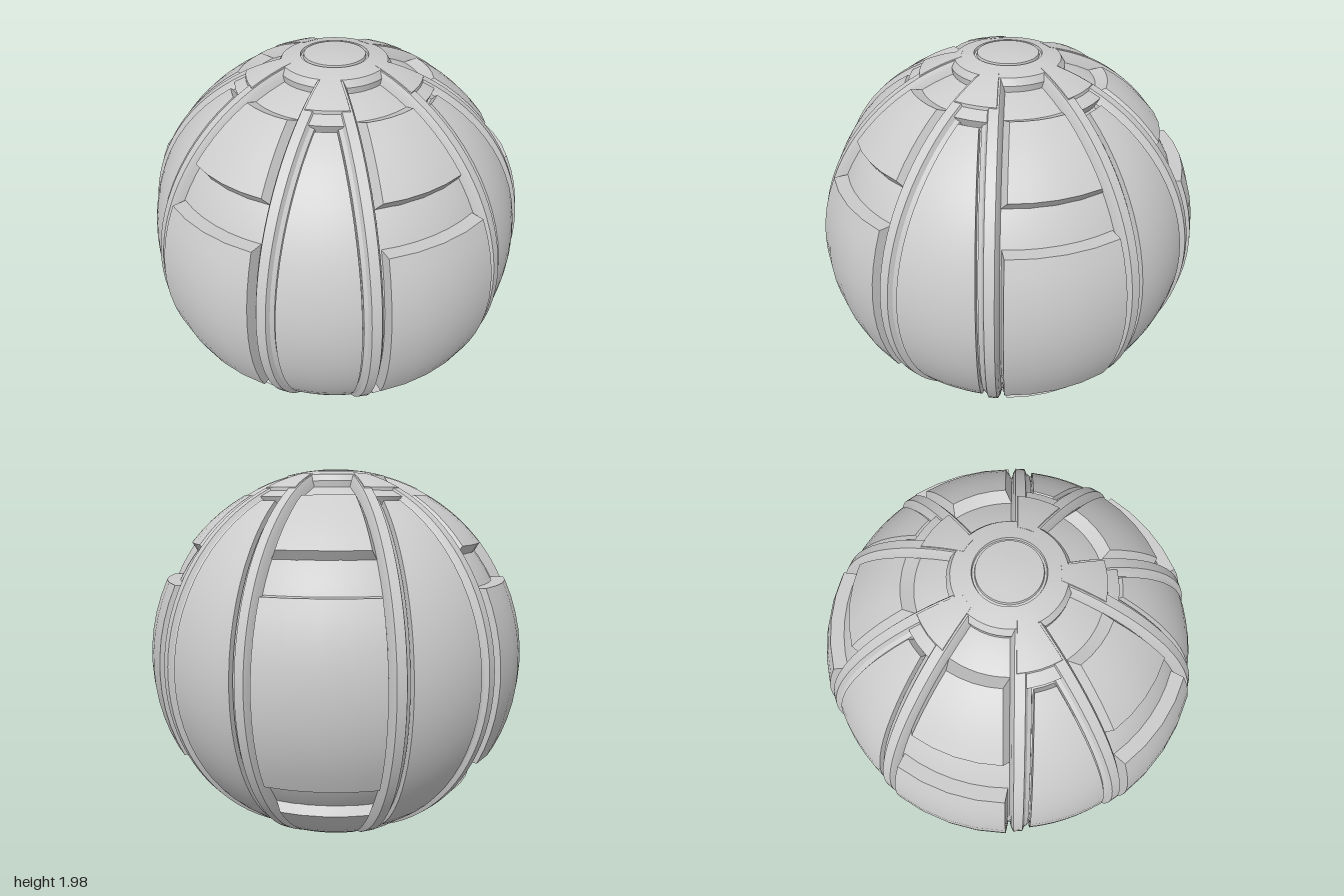
import * as THREE from 'three';
import { toCreasedNormals } from 'three/addons/utils/BufferGeometryUtils.js';

const DEG = Math.PI / 180;
const SECTOR = 18 * DEG; // ribs follow planes parallel to the meridians at +-18 degrees
const BASE = 0.936;
const material = new THREE.MeshStandardMaterial({ color: 0xcccccc });

// Skin a (nu+1) x (nv+1) grid of points, creased at hard edges
function gridGeometry(nu, nv, point) {
  const pos = [], index = [];
  for (let j = 0; j <= nv; j++)
    for (let i = 0; i <= nu; i++) pos.push(...point(i, j));
  for (let j = 0; j < nv; j++)
    for (let i = 0; i < nu; i++) {
      const a = j * (nu + 1) + i, b = a + 1, d = a + nu + 1, c = d + 1;
      index.push(a, b, c, a, c, d);
    }
  const g = new THREE.BufferGeometry();
  g.setAttribute('position', new THREE.Float32BufferAttribute(pos, 3));
  g.setIndex(index);
  return toCreasedNormals(g, 22 * DEG);
}

// Raised spherical block facing +z. foot and top give radius r, latitudes lat
// and d, how far the side edges lie beyond the sector's 18 degree planes.
function blockGeometry(foot, top, nu = 6, nv = 10) {
  const U = nu + 2, V = nv + 2;
  return gridGeometry(U, V, (i, j) => {
    const rim = i === 0 || i === U || j === 0 || j === V;
    const s = rim ? foot : top;
    const t = THREE.MathUtils.clamp((i - 1) / nu, 0, 1) * 2 - 1;
    const v = THREE.MathUtils.clamp((j - 1) / nv, 0, 1);
    // side skirts keep the latitudes of the top except at the corners
    const lat = (s.lat[0] + (s.lat[1] - s.lat[0]) * v) * DEG;
    const rho = s.r * Math.cos(lat);
    const az = t * (SECTOR + Math.asin(s.d / rho));
    return [rho * Math.sin(az), s.r * Math.sin(lat), rho * Math.cos(az)];
  });
}

// Constant-width rib: [offset, radius] section swept from pole to pole
function ribGeometry() {
  const section = [[0.0, 0.92], [0.012, 0.966], [0.024, 0.987], [0.07, 0.987], [0.08, 0.966], [0.097, 0.955], [0.099, 0.92]];
  const nv = 44;
  return gridGeometry(section.length - 1, nv, (i, j) => {
    const [d, r] = section[i];
    const th = (-78 + 156 * j / nv) * DEG;
    const q = Math.sqrt(r * r - d * d);
    return [d, q * Math.sin(th), q * Math.cos(th)];
  });
}

// Polar hub: domed disc with a thin round groove and a bevelled rim
function hubGeometry() {
  const R = 0.99, dome = (x, drop = 0) => new THREE.Vector2(x, Math.sqrt((R - drop) ** 2 - x * x));
  const profile = [
    new THREE.Vector2(0.27, 0.88), dome(0.275, 0.025), dome(0.255), dome(0.21), dome(0.163),
    dome(0.16, 0.012), dome(0.15, 0.012), dome(0.147), dome(0.075), new THREE.Vector2(0, R),
  ];
  return toCreasedNormals(new THREE.LatheGeometry(profile, 50), 22 * DEG);
}

export function createModel() {
  const model = new THREE.Group();
  const ball = new THREE.Group();
  ball.name = 'ball';
  ball.position.set(0, 0.995, -0.01);
  model.add(ball);

  const add = (name, geometry, azimuth = 0, parent = ball) => {
    const mesh = new THREE.Mesh(geometry, material);
    mesh.name = name;
    mesh.rotation.y = azimuth;
    parent.add(mesh);
    return mesh;
  };

  add('core', new THREE.SphereGeometry(BASE, 60, 40));

  // Shared shapes
  const band = blockGeometry(
    { r: 0.925, lat: [-27.8, 27.8], d: 0.0 },
    { r: 0.997, lat: [-25.8, 25.8], d: -0.016 }, 4, 10);
  const outer = (sign) => {
    const span = (a, b) => (sign > 0 ? [a, b] : [-b, -a]);
    return blockGeometry(
      { r: 0.93, lat: span(38, 63.3), d: 0.01 },
      { r: 0.983, lat: span(39.2, 60.6), d: -0.024 }, 4, 5);
  };
  const upper = outer(1), lower = outer(-1);
  const smooth = blockGeometry(
    { r: 0.92, lat: [-59.4, 59.4], d: -0.102 },
    { r: 0.972, lat: [-58.8, 58.8], d: -0.108 }, 6, 24);
  const web = blockGeometry(
    { r: 0.92, lat: [59.9, 77], d: -0.02 },
    { r: 0.978, lat: [60.3, 77], d: -0.03 }, 4, 4);
  const lobe = blockGeometry(
    { r: 0.96, lat: [63.2, 77], d: -0.022 },
    { r: 0.991, lat: [64.4, 77], d: -0.034 }, 4, 4);
  const rib = ribGeometry();
  const hub = hubGeometry();

  for (let k = 0; k < 5; k++) {
    const a = k * 72 * DEG;
    // stepped sector
    add('centreBand', band, a);
    add('upperBlock', upper, a);
    add('lowerBlock', lower, a);
    // smooth sector
    add('smoothPanel', smooth, a + 36 * DEG);
    // ribs on both sides of the stepped sector; half a turn about z mirrors the rib
    add('rib', rib, a + SECTOR);
    const mirrored = add('rib', rib, a - SECTOR);
    mirrored.rotation.order = 'YXZ';
    mirrored.rotation.z = Math.PI;
  }

  // Hubs at both poles, the lower one turned over about the z axis
  for (const [name, turn] of [['topHub', 0], ['bottomHub', Math.PI]]) {
    const pole = new THREE.Group();
    pole.name = name;
    pole.rotation.z = turn;
    ball.add(pole);
    add('hubDisc', hub, 0, pole);
    for (let k = 0; k < 5; k++) {
      const a = (36 + k * 72) * DEG;
      add('hubWeb', web, a, pole);
      add('hubLobe', lobe, a, pole);
    }
  }
  return model;
}
